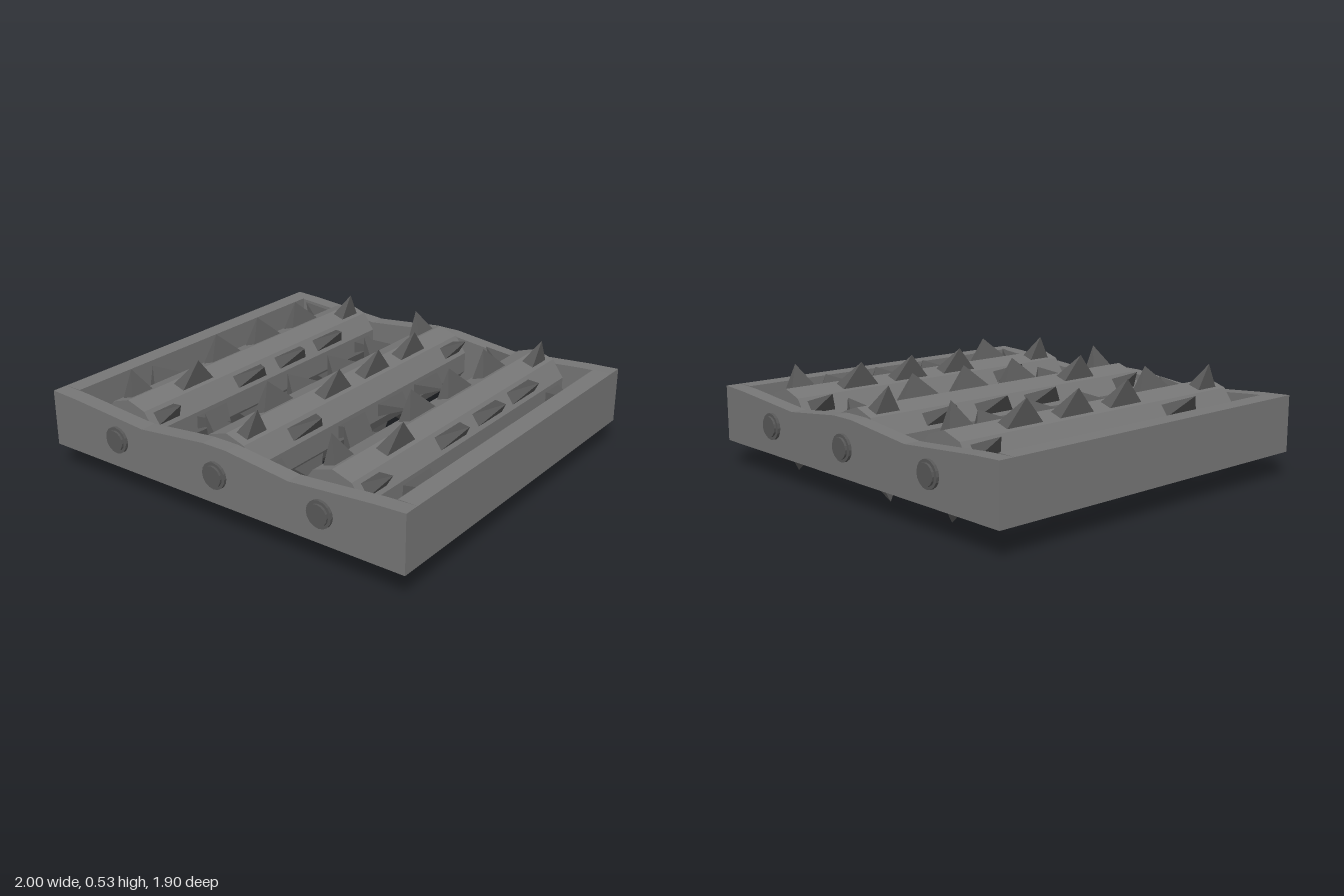
import * as THREE from 'three';

const steel = new THREE.MeshStandardMaterial({ color: 0x767676 });
steel.name = 'grey steel';
const darkSteel = new THREE.MeshStandardMaterial({ color: 0x585858 });
darkSteel.name = 'dark steel';

const AXLE_Y = 0.27;
const SIDES = 10;

function add(parent, name, geometry, material, x = 0, y = 0, z = 0) {
  const mesh = new THREE.Mesh(geometry, material);
  mesh.name = name;
  mesh.position.set(x, y, z);
  parent.add(mesh);
  return mesh;
}

// Cylinder lying along z, flat faceted
function zCylinder(radius, length, sides) {
  const g = new THREE.CylinderGeometry(radius, radius, length, sides);
  g.rotateX(Math.PI / 2);
  const flat = g.toNonIndexed();
  flat.computeVertexNormals();
  return flat;
}

// Four-sided spike pointing along +y from the roller axis: thin in x, long in z
function spikeGeometry(halfLength) {
  const bottom = 0.15, tip = 0.277;
  const g = new THREE.ConeGeometry(Math.SQRT2, tip - bottom, 4, 1);
  g.rotateY(Math.PI / 4);
  g.scale(0.034, 1, halfLength);
  g.translate(0, (bottom + tip) / 2, 0);
  const flat = g.toNonIndexed();
  flat.computeVertexNormals();
  return flat;
}

// End rail with a wavy upper edge
function railGeometry(depth) {
  const shape = new THREE.Shape();
  shape.moveTo(-1, 0.13);
  shape.lineTo(1, 0.13);
  const top = [[1, 0.405], [0.85, 0.398], [0.42, 0.364], [0.08, 0.403],
    [-0.05, 0.403], [-0.42, 0.364], [-0.85, 0.398], [-1, 0.405]];
  top.forEach(([x, y]) => shape.lineTo(x, y));
  shape.closePath();
  return new THREE.ExtrudeGeometry(shape, { depth, bevelEnabled: false });
}

export function createModel() {
  const model = new THREE.Group();
  model.name = 'spikedRollerGrate';

  // Rectangular frame
  const frame = new THREE.Group();
  frame.name = 'frame';
  model.add(frame);
  const rail = railGeometry(0.08);
  add(frame, 'frontRail', rail, steel, 0, 0, 0.843);
  add(frame, 'backRail', rail, steel, 0, 0, -0.923);
  const sideRail = new THREE.BoxGeometry(0.093, 0.275, 1.69);
  add(frame, 'leftRail', sideRail, steel, 0.9535, 0.2675, 0);
  add(frame, 'rightRail', sideRail, steel, -0.9535, 0.2675, 0);

  // Rollers with staggered rings of spikes
  const rollerBody = zCylinder(0.168, 1.69, SIDES);
  const longSpike = spikeGeometry(0.112);
  const shortSpike = spikeGeometry(0.07);
  const rows = [
    { z: -0.735, turn: 1 }, { z: -0.468, turn: 0 }, { z: -0.158, turn: 0 },
    { z: 0.155, turn: 0 }, { z: 0.466, turn: 1 }, { z: 0.735, turn: 0 },
  ];
  const boltBase = zCylinder(0.064, 0.03, 16);
  const boltCap = zCylinder(0.05, 0.04, 16);

  [-0.58, 0.015, 0.585].forEach((x, i) => {
    const roller = new THREE.Group();
    roller.name = 'roller';
    roller.position.set(x, AXLE_Y, 0);
    model.add(roller);
    add(roller, 'rollerBody', rollerBody, steel);

    rows.forEach(({ z, turn }) => {
      // The middle roller is turned half a revolution
      const flip = (turn + (i === 1 ? 1 : 0)) % 2;
      for (let k = 0; k < 5; k++) {
        const geometry = Math.abs(z) > 0.7 ? shortSpike : longSpike;
        const spike = add(roller, 'spike', geometry, darkSteel, 0, 0, z);
        spike.rotation.z = Math.PI / 2 + flip * Math.PI + k * Math.PI * 0.4;
      }
    });

    // Axle bolts on both end rails
    for (const side of [1, -1]) {
      add(roller, 'boltBase', boltBase, darkSteel, 0, 0, side * 0.922);
      add(roller, 'boltCap', boltCap, darkSteel, 0, 0, side * 0.928);
    }
  });

  return model;
}
